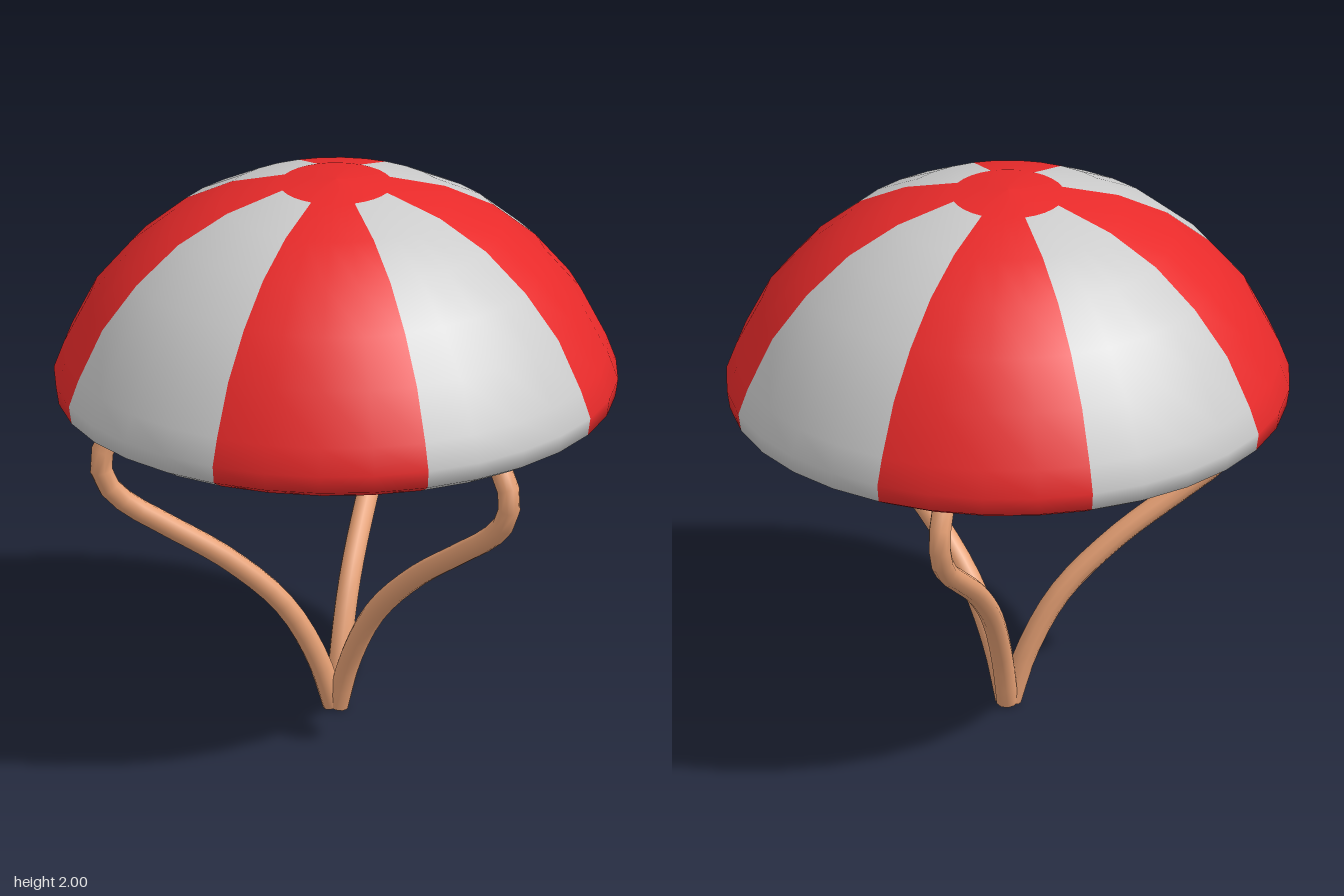
import * as THREE from 'three';

const material = (color) => new THREE.MeshStandardMaterial({ color, side: THREE.DoubleSide });
const points = (list) => list.map(([x, y]) => new THREE.Vector2(x, y));

export function createModel() {
  const model = new THREE.Group();
  const red = material(0xe82a2a);
  const grey = material(0xcccccc);
  const tan = material(0xe6a074);

  const add = (parent, name, geometry, mat) => {
    const mesh = new THREE.Mesh(geometry, mat);
    mesh.name = name;
    parent.add(mesh);
    return mesh;
  };

  // Canopy profile: flat underside, rolled rim, then the dome up to the crown
  const canopy = new THREE.Group();
  canopy.name = 'canopy';
  model.add(canopy);
  const profile = points([
    [0, 1.21], [0.45, 1.21], [0.86, 1.21], [0.92, 1.165], [0.985, 1.2], [0.995, 1.265], [0.96, 1.36],
    [0.87, 1.54], [0.743, 1.693], [0.588, 1.825], [0.407, 1.92], [0.2, 1.982], [0, 2],
  ]);
  const bands = profile.length - 1;
  const step = Math.PI / 4;
  for (let i = 0; i < 8; i++) {
    const wedge = new THREE.LatheGeometry(profile, 4, -Math.PI / 16 + i * step, step);
    // Underside and crown stay red in every wedge; only the panel between them alternates
    for (let s = 0; s < 4; s++) {
      const start = s * bands * 6;
      wedge.addGroup(start, 12, 0);
      wedge.addGroup(start + 12, (bands - 3) * 6, i % 2);
      wedge.addGroup(start + (bands - 1) * 6, 6, 0);
    }
    add(canopy, i % 2 ? 'greyWedge' : 'redWedge', wedge, [red, grey]);
  }

  // Three curved legs meeting at the foot, the first at the back
  const path = new THREE.CatmullRomCurve3([
    [0.008, 0.012], [0.07, 0.2], [0.19, 0.41], [0.39, 0.6], [0.64, 0.77],
    [0.77, 0.86], [0.84, 0.94], [0.86, 1.03], [0.82, 1.12], [0.77, 1.175], [0.7, 1.21],
  ].map(([r, y]) => new THREE.Vector3(0, y, -r)));
  const tube = new THREE.TubeGeometry(path, 22, 0.04, 10);
  for (let i = 0; i < 3; i++) {
    const leg = new THREE.Group();
    leg.name = 'leg';
    leg.rotation.y = (i * Math.PI * 2) / 3;
    add(leg, 'legTube', tube, tan);
    // Flat caps closing both ends
    for (const t of [0, 1]) {
      const cap = add(leg, 'legCap', new THREE.CircleGeometry(0.04, 10), tan);
      const outward = path.getTangentAt(t).multiplyScalar(t ? 1 : -1);
      cap.position.copy(path.getPointAt(t));
      cap.quaternion.setFromUnitVectors(new THREE.Vector3(0, 0, 1), outward);
    }
    model.add(leg);
  }
  return model;
}
